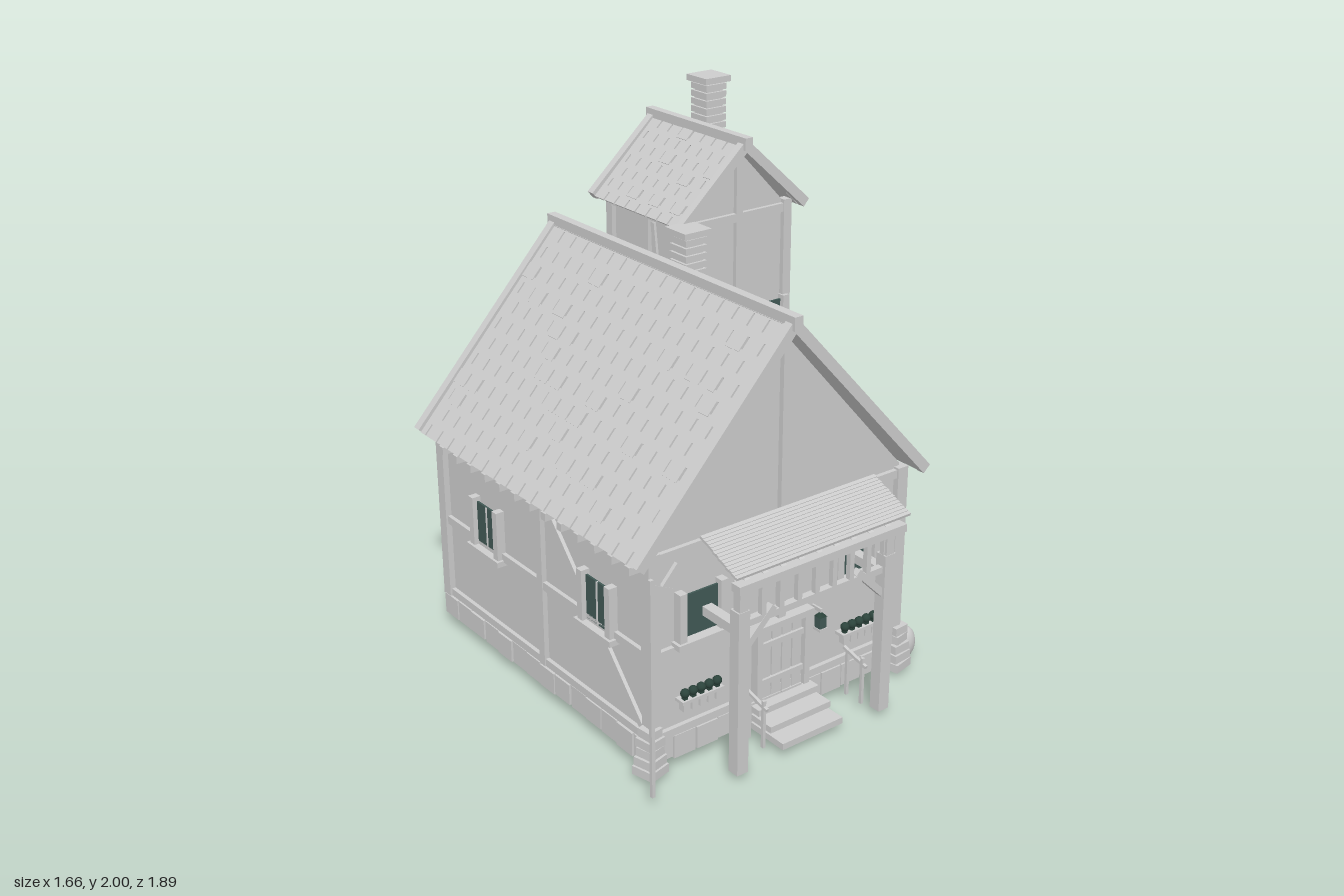
import * as THREE from 'three';

const stone = new THREE.MeshStandardMaterial({ color: 0xcccccc });
stone.name = 'pale grey';
const glass = new THREE.MeshStandardMaterial({ color: 0x415955 });
glass.name = 'dark teal glass';
const leaf = new THREE.MeshStandardMaterial({ color: 0x2c443c });
leaf.name = 'dark green';

let seed = 7;
const rnd = () => (seed = (seed * 16807) % 2147483647) / 2147483647;

function add(parent, name, geo, mat = stone) {
  const m = new THREE.Mesh(geo, mat);
  m.name = name;
  parent.add(m);
  return m;
}
// box given by its ranges
function box(p, name, x0, x1, y0, y1, z0, z1, mat) {
  const m = add(p, name, new THREE.BoxGeometry(x1 - x0, y1 - y0, z1 - z0), mat);
  m.position.set((x0 + x1) / 2, (y0 + y1) / 2, (z0 + z1) / 2);
  return m;
}
// timber between two points
function beam(p, name, a, b, w = 0.03, d = w) {
  const A = new THREE.Vector3(...a), B = new THREE.Vector3(...b);
  const m = add(p, name, new THREE.BoxGeometry(w, A.distanceTo(B), d));
  m.position.copy(A).add(B).multiplyScalar(0.5);
  m.quaternion.setFromUnitVectors(new THREE.Vector3(0, 1, 0), B.sub(A).normalize());
  return m;
}
function group(p, name, x = 0, y = 0, z = 0, ry = 0) {
  const g = new THREE.Group();
  g.name = name;
  g.position.set(x, y, z);
  g.rotation.y = ry;
  p.add(g);
  return g;
}

// gabled wall body
function body(p, name, x0, x1, y0, eave, peak, z0, z1) {
  const s = new THREE.Shape([[x0, y0], [x1, y0], [x1, eave], [(x0 + x1) / 2, peak], [x0, eave]].map(q => new THREE.Vector2(...q)));
  const m = add(p, name, new THREE.ExtrudeGeometry(s, { depth: z1 - z0, bevelEnabled: false }));
  m.position.z = z0;
}

// two shingled slopes, ridge beam and barge boards
function roof(p, name, cx, ridge, half, eave, z0, z1, rows, cols) {
  const g = group(p, name), rise = ridge - eave, len = Math.hypot(half, rise), D = z1 - z0;
  for (const s of [1, -1]) {
    const slope = group(g, 'roofSlope', cx, ridge, (z0 + z1) / 2);
    slope.rotation.set(0, s < 0 ? Math.PI : 0, -Math.atan2(rise, half), 'YXZ');
    box(slope, 'roofDeck', 0, len - 0.01, -0.026, -0.008, -D / 2, D / 2);
    const step = len / rows, w = D / cols;
    for (let r = 0; r < rows; r++) for (let c = 0; c <= cols; c++) {
      const a = Math.max(-D / 2, -D / 2 + (c - (r % 2) * 0.5) * w), b = Math.min(D / 2, -D / 2 + (c + 1 - (r % 2) * 0.5) * w);
      if (b - a < 0.01) continue;
      const lift = rnd() < 0.15 && r < rows - 1 ? 1 : 0;
      // upper part closed, lower part separated from its neighbours by a slit
      box(slope, 'shingleTop', r * step, (r + 0.4) * step, -0.008, 0, a, b);
      box(slope, 'shingle', (r + 0.4) * step, (r + 1) * step + lift * 0.012, -0.008, lift * 0.003, a + 0.004, b - 0.004);
    }
    for (const z of [z0 - 0.012, z1 + 0.012])
      beam(g, 'bargeBoard', [cx, ridge - 0.015, z], [cx + s * half * 0.99, eave - 0.002, z], 0.04, 0.035);
  }
  box(g, 'ridgeBeam', cx - 0.018, cx + 0.018, ridge - 0.03, ridge + 0.02, z0 - 0.042, z1 + 0.042);
}

// ring of foundation blocks of thickness t, open below
function foundation(p, x0, x1, z0, z1, t) {
  const g = group(p, 'foundation');
  const run = (a, b, make) => {
    const n = Math.round((b - a) / 0.1), w = (b - a) / n;
    for (let i = 0; i < n; i++) make(a + i * w + 0.002, a + (i + 1) * w - 0.002, rnd() * 0.01, 0.04 + rnd() * 0.012);
  };
  run(x0, x1, (a, b, o, y) => {
    box(g, 'stoneBlock', a, b, y, 0.133, z1 - t, z1 + o);
    box(g, 'stoneBlock', a, b, y, 0.133, z0 - o, z0 + t);
  });
  run(z0, z1, (a, b, o, y) => {
    box(g, 'stoneBlock', x0 - o, x0 + t, y, 0.133, a, b);
    box(g, 'stoneBlock', x1 - t, x1 + o, y, 0.133, a, b);
  });
}

// window facing +z; origin at bottom middle of the glass
function windowUnit(p, x, y, z, ry, w, h, bars = 0) {
  const g = group(p, 'window', x, y, z, ry);
  box(g, 'glass', -w / 2, w / 2, 0, h, 0.008, 0.016, glass);
  for (const s of [-1, 1]) box(g, 'windowJamb', s * (w / 2 + 0.013) - 0.015, s * (w / 2 + 0.013) + 0.015, -0.01, h + 0.018, 0, 0.035);
  box(g, 'windowSill', -w / 2 - 0.04, w / 2 + 0.04, -0.03, -0.008, 0, 0.045);
  for (let i = 1; i <= bars; i++) {
    const bx = -w / 2 + (i * w) / (bars + 1);
    box(g, 'windowBar', bx - 0.003, bx + 0.003, 0, h, 0.01, 0.02);
  }
}

// chimney of stacked courses round a narrower core
function chimney(p, x, z, y0, y1) {
  const g = group(p, 'chimney', x, 0, z), n = 9, h = (y1 - y0 - 0.025) / n;
  box(g, 'chimneyCore', -0.04, 0.04, y0, y1 - 0.02, -0.04, 0.04);
  for (let i = 0; i < n; i++) box(g, 'brickCourse', -0.051, 0.051, y0 + i * h, y0 + (i + 0.78) * h, -0.051, 0.051);
  box(g, 'chimneyCap', -0.064, 0.064, y1 - 0.025, y1, -0.064, 0.064);
}

function plankDoor(p, x, y, z, w, h, n) {
  const g = group(p, 'door', x, y, z), s = w / n;
  for (let i = 0; i < n; i++) box(g, 'doorPlank', -w / 2 + i * s + 0.003, -w / 2 + (i + 1) * s - 0.003, 0, h - rnd() * 0.01, 0, 0.02);
  for (const f of [0.22, 0.75]) box(g, 'doorBrace', -w / 2, w / 2, h * f, h * f + 0.022, 0.015, 0.03);
}

function steps(p, x0, x1, z0, z1) {
  for (let i = 0; i < 3; i++) box(p, 'step', x0, x1, 0.1 - i * 0.034, 0.125 - i * 0.034, z0, z0 + ((i + 1) * (z1 - z0)) / 3);
}

function house(root) {
  const g = group(root, 'mainHouse'), cx = -0.155, X0 = -0.715, X1 = 0.405, Z0 = -0.63, Z1 = 0.7;
  body(g, 'houseWalls', X0, X1, 0.13, 0.87, 1.5, Z0, Z1);
  foundation(g, X0 - 0.017, X1 + 0.017, Z0 - 0.017, Z1 + 0.017, 0.045);
  roof(g, 'mainRoof', cx, 1.56, 0.65, 0.845, -0.65, 0.73, 12, 17);
  // front and back framing
  for (const z of [Z0, Z1]) {
    for (const x of [X0, X1]) box(g, 'cornerPost', x - 0.024, x + 0.024, 0.13, 0.86, z - 0.024, z + 0.024);
    for (const y of [0.13, 0.45, 0.82]) box(g, 'crossBeam', X0, X1, y, y + 0.033, z - 0.017, z + 0.017);
    box(g, 'middlePost', cx - 0.016, cx + 0.016, z > 0 ? 0.42 : 0.13, 1.5, z - 0.02, z + 0.02);
  }
  for (const s of [-1, 1]) beam(g, 'cornerBrace', [cx + s * 0.55, 0.68, Z1], [cx + s * 0.45, 0.79, Z1], 0.025, 0.03);
  // side framing
  for (const [x, s] of [[X0, -1], [X1, 1]]) {
    for (const y of [0.13, 0.45, 0.81]) box(g, 'sideBeam', x - 0.016, x + 0.016, y, y + 0.033, Z0, Z1);
    box(g, 'sidePost', x - 0.02, x + 0.02, 0.13, 0.84, 0.03, 0.065);
    beam(g, 'sideBrace', [x, 0.16, 0.67], [x, 0.81, 0.07], 0.028, 0.026);
    for (let z = -0.55; z < 0.7; z += 0.1) box(g, 'rafterEnd', x + s * 0.025 - 0.035, x + s * 0.025 + 0.035, 0.78, 0.81, z - 0.014, z + 0.014);
    for (const z of [0.41, -0.31]) windowUnit(g, x, 0.465, z, (s * Math.PI) / 2, 0.14, 0.17, 1);
  }
  for (const x of [-0.515, 0.195]) {
    windowUnit(g, x, 0.505, Z1, 0, 0.15, 0.16);
    // flower box
    const f = group(g, 'flowerBox', x + (x < 0 ? -0.01 : 0.015), 0.23, Z1);
    for (let i = 0; i < 5; i++) {
      const px = -0.07 + i * 0.035;
      box(f, 'flowerPot', px - 0.014, px + 0.014, 0, 0.04, 0.015, 0.043);
      box(f, 'stem', px - 0.008, px + 0.008, 0.04, 0.06, 0.021, 0.037, leaf);
      const l = add(f, 'plant', new THREE.IcosahedronGeometry(0.0175, 1), leaf);
      l.position.set(px, 0.066, 0.03);
    }
    box(f, 'boxRail', -0.09, 0.09, 0.03, 0.042, 0, 0.045);
  }
  // front door with frame
  plankDoor(g, cx, 0.13, Z1, 0.19, 0.28, 4);
  for (const s of [-1, 1]) box(g, 'doorPost', cx + s * 0.11 - 0.012, cx + s * 0.11 + 0.012, 0.13, 0.42, Z1, Z1 + 0.035);
  box(g, 'doorLintel', cx - 0.135, cx + 0.135, 0.41, 0.435, Z1, Z1 + 0.04);
  steps(g, cx - 0.14, cx + 0.14, Z1, 0.9);
  // rough corner stones
  for (const x of [X0 - 0.015, X1 + 0.015]) for (let i = 0; i < 5; i++) {
    const r = 0.05 - i * 0.004 - rnd() * 0.008;
    box(g, 'cornerStone', x - r, x + r, 0.02 + i * 0.037, 0.053 + i * 0.037, Z1 + 0.01 - r, Z1 + 0.01 + r).rotation.y = rnd() * 0.3;
  }
}

function tower(root) {
  const g = group(root, 'tower'), X0 = 0.26, X1 = 0.755, Z0 = -0.868, Z1 = -0.37, cx = 0.507, cz = -0.619;
  body(g, 'towerWalls', X0, X1, 0.13, 1.53, 1.79, Z0, Z1);
  foundation(g, X0 - 0.016, X1 + 0.016, Z0 - 0.016, Z1 + 0.016, 0.085);
  roof(g, 'towerRoof', cx, 1.83, 0.315, 1.535, -0.905, -0.34, 7, 8);
  for (const x of [X0, X1]) for (const z of [Z0, Z1]) box(g, 'towerPost', x - 0.02, x + 0.02, 0.13, 1.55, z - 0.02, z + 0.02);
  for (const y of [0.13, 0.82, 1.5]) {
    for (const z of [Z0, Z1]) box(g, 'towerBeam', X0, X1, y, y + 0.035, z - 0.017, z + 0.017);
    for (const x of [X0, X1]) box(g, 'towerBeam', x - 0.017, x + 0.017, y, y + 0.035, Z0, Z1);
  }
  for (const z of [Z0, Z1]) box(g, 'towerMiddlePost', cx - 0.016, cx + 0.016, z === Z0 ? 0.13 : 0.84, 1.8, z - 0.018, z + 0.018);
  for (const [x, s] of [[X0, -1], [X1, 1]]) {
    box(g, 'towerMiddlePost', x - 0.018, x + 0.018, 0.13, 1.53, cz - 0.016, cz + 0.016);
    beam(g, 'towerBrace', [x, 0.17, -0.41], [x, 1.49, -0.585], 0.022, 0.022);
    for (const z of [-0.48, -0.75]) windowUnit(g, x, 0.9, z, (s * Math.PI) / 2, 0.145, 0.17);
  }
  for (const x of [0.355, 0.655]) windowUnit(g, x, 0.97, Z1, 0, 0.15, 0.16);
  plankDoor(g, 0.525, 0.13, Z1, 0.17, 0.28, 3);
  steps(g, 0.46, 0.645, Z1, -0.175);
}

function porch(root) {
  const g = group(root, 'porch');
  for (const [x, s] of [[-0.49, 1], [0.17, -1]]) {
    box(g, 'porchPost', x - 0.024, x + 0.024, 0.025, 0.66, 0.87, 0.917);
    box(g, 'porchSideBeam', x - 0.02, x + 0.02, 0.565, 0.6, 0.7, 0.9);
    box(g, 'porchUpperPost', x - 0.018, x + 0.018, 0.6, 0.77, 0.88, 0.915);
    beam(g, 'porchBrace', [x, 0.49, 0.893], [x + s * 0.14, 0.63, 0.893], 0.026);
  }
  box(g, 'porchRail', -0.5, 0.18, 0.59, 0.615, 0.88, 0.905);
  box(g, 'porchBeam', -0.53, 0.22, 0.745, 0.775, 0.895, 0.94);
  for (let i = 0; i <= 8; i++) {
    const x = -0.475 + i * 0.079;
    box(g, 'latticeSlat', x - 0.01, x + 0.01, 0.61, 0.75, 0.885, 0.905);
    beam(g, 'porchRafter', [x, 0.755, 0.93], [x, 0.85, 0.72], 0.022);
  }
  // overlapping roof boards
  for (let i = 0; i < 14; i++) {
    const b = box(g, 'porchRoofBoard', -0.55 + rnd() * 0.004, 0.232 - rnd() * 0.004, -0.005, 0.005, -0.008, 0.008);
    b.position.y = 0.888 - i * 0.0058;
    b.position.z = 0.76 + i * 0.0135;
    b.rotation.x = 0.25;
  }
  // stair rails
  for (const x of [-0.335, 0.13]) {
    for (const z of [0.76, 0.84]) box(g, 'railStake', x - 0.006, x + 0.006, 0.03, 0.22, z - 0.006, z + 0.006);
    beam(g, 'handRail', [x, 0.22, 0.74], [x, 0.19, 0.86], 0.012);
  }
}

function props(root) {
  const g = group(root, 'yardItems');
  // flag on a pole
  box(g, 'flagPole', -0.827, -0.813, 0.035, 0.86, 0.838, 0.852);
  const flag = new THREE.Shape([[-0.815, 0.84], [-0.815, 0.66], [-0.73, 0.64], [-0.73, 0.8]].map(q => new THREE.Vector2(...q)));
  add(g, 'flag', new THREE.ExtrudeGeometry(flag, { depth: 0.002, bevelEnabled: false })).position.z = 0.844;
  // barrel with hoops
  const prof = [[0, 0], [0.04, 0], [0.048, 0.035], [0.051, 0.065], [0.048, 0.1], [0.04, 0.135], [0, 0.135]].map(q => new THREE.Vector2(...q));
  add(g, 'barrel', new THREE.LatheGeometry(prof, 16)).position.set(0.48, 0.02, 0.53);
  for (const y of [0.05, 0.125]) {
    const h = add(g, 'barrelHoop', new THREE.TorusGeometry(0.049, 0.005, 6, 18));
    h.rotation.x = Math.PI / 2;
    h.position.set(0.48, y, 0.53);
  }
  // grain sack
  const sack = add(g, 'sack', new THREE.SphereGeometry(0.045, 16, 12));
  sack.scale.set(1, 1.5, 0.85);
  sack.position.set(0.515, 0.0675, 0.665);
  // hanging lantern
  const l = group(g, 'lantern', 0.005, 0.34, 0.745);
  box(l, 'lanternGlass', -0.015, 0.015, 0.01, 0.055, -0.015, 0.015, glass);
  box(l, 'lanternBase', -0.018, 0.018, 0, 0.01, -0.018, 0.018);
  const cap = add(l, 'lanternCap', new THREE.ConeGeometry(0.024, 0.02, 4), leaf);
  cap.position.y = 0.065;
  cap.rotation.y = Math.PI / 4;
  box(l, 'lanternHook', -0.004, 0.004, 0.07, 0.085, -0.05, 0.004);
}

export function createModel() {
  seed = 7;
  const root = new THREE.Group();
  root.name = 'cottageWithTower';
  house(root);
  tower(root);
  porch(root);
  props(root);
  chimney(root, 0.65, -0.735, 1.69, 2.0);
  chimney(root, 0.185, -0.265, 1.25, 1.56);
  return root;
}
